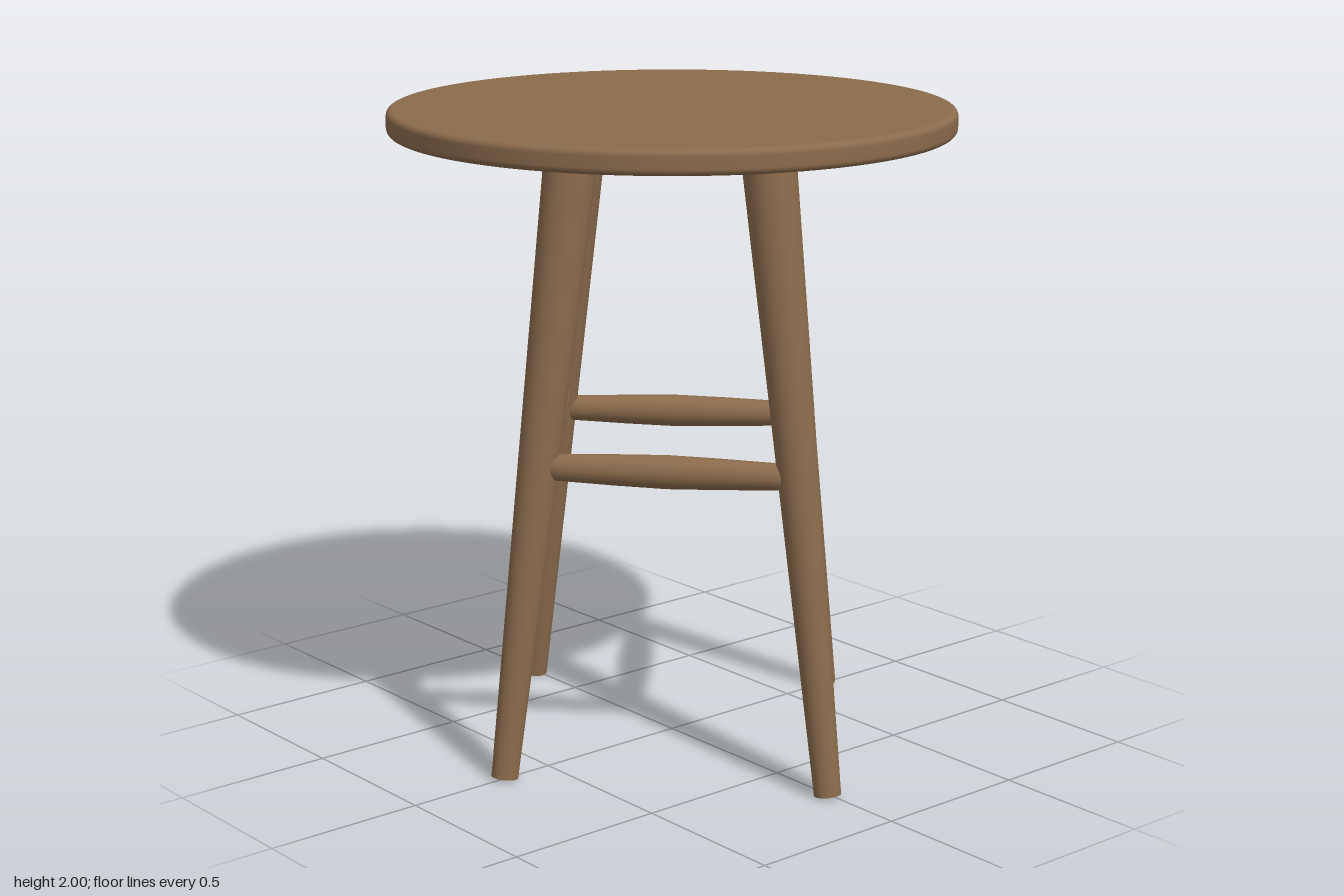
import * as THREE from 'three';

const V = (x, y, z) => new THREE.Vector3(x, y, z);
const UP = V(0, 1, 0);

export function createModel() {
  const model = new THREE.Group();
  const wood = new THREE.MeshStandardMaterial({ color: 0x8b6b4c });
  wood.name = 'brown wood';

  const add = (name, geometry) => {
    const mesh = new THREE.Mesh(geometry, wood);
    mesh.name = name;
    model.add(mesh);
    return mesh;
  };

  // Lays a geometry made along +y (centred on its origin) between two points
  const place = (mesh, a, b) => {
    mesh.position.copy(a).lerp(b, 0.5);
    mesh.quaternion.setFromUnitVectors(UP, b.clone().sub(a).normalize());
  };

  // Round seat with softened rims
  const R = 0.862, y0 = 1.925, y1 = 2, r = 0.02;
  const profile = [new THREE.Vector2(0, y0), new THREE.Vector2(R - r - 0.01, y0)];
  for (const [cy, start] of [[y0 + r, -Math.PI / 2], [y1 - r, 0]]) {
    for (let i = 0; i <= 5; i++) {
      const t = start + (i / 5) * Math.PI / 2;
      profile.push(new THREE.Vector2(R - r + r * Math.cos(t), cy + r * Math.sin(t)));
    }
  }
  profile.push(new THREE.Vector2(R - r - 0.01, y1), new THREE.Vector2(0, y1));
  add('seat', new THREE.LatheGeometry(profile, 96));

  // Four splayed, tapered legs: foot and top of each axis
  const legs = [
    ['frontLeg', V(-0.013, 0.005, 0.74), V(-0.015, 1.94, 0.448)],
    ['leftLeg', V(0.661, 0.005, 0), V(0.374, 1.94, 0.002)],
    ['backLeg', V(-0.013, 0.005, -0.706), V(-0.015, 1.94, -0.413)],
    ['rightLeg', V(-0.667, 0.005, 0), V(-0.382, 1.94, 0.002)],
  ];
  for (const [name, foot, top] of legs) {
    place(add(name, new THREE.CylinderGeometry(0.082, 0.041, foot.distanceTo(top), 32)), foot, top);
  }

  // Stretchers join neighbouring legs at alternating heights, fuller in the middle
  const rails = [['frontLeft', 1.037], ['backLeft', 0.953], ['backRight', 1.015], ['frontRight', 0.962]];
  const axisAt = ([, foot, top], y) => foot.clone().lerp(top, (y - foot.y) / (top.y - foot.y));
  rails.forEach(([side, y], i) => {
    const a = axisAt(legs[i], y), b = axisAt(legs[(i + 1) % 4], y);
    const h = a.distanceTo(b) / 2;
    const points = [[0, -h], [0.038, -h], [0.041, -h * 0.8], [0.047, -h * 0.4], [0.051, 0],
      [0.047, h * 0.4], [0.041, h * 0.8], [0.038, h], [0, h]].map(p => new THREE.Vector2(...p));
    place(add(side + 'Stretcher', new THREE.LatheGeometry(points, 24)), a, b);
  });

  return model;
}
